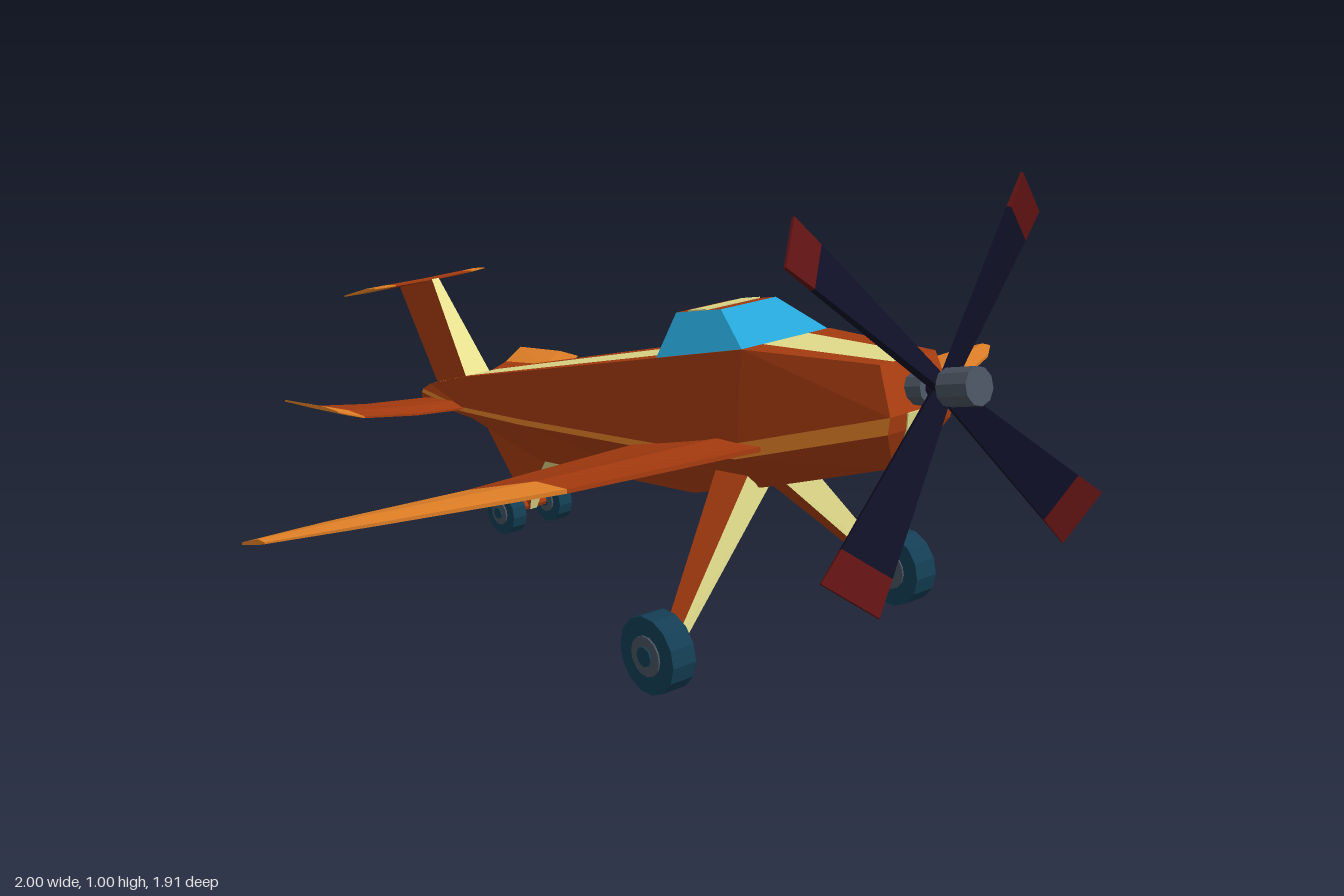
import * as THREE from 'three';

const paint = (name, color) => {
  const m = new THREE.MeshStandardMaterial({ color });
  m.name = name;
  return m;
};
const rust = paint('rust', 0xa83c10);
const amber = paint('amber', 0xe88428);
const cream = paint('cream', 0xe6e08e);
const glass = paint('glass', 0x26a6d8);
const tyre = paint('tyre', 0x143e54);
const steel = paint('steel', 0x48525f);
const blade = paint('blade navy', 0x0f0f26);
const tipRed = paint('blade tip red', 0x5e1212);

// Flat-faced skin through rings of points; pick(i, j) gives the material of
// side j between rings i and i + 1 (i = -1 first cap, i = rings.length last cap)
function loft(name, rings, pick) {
  const choose = typeof pick === 'function' ? pick : () => pick;
  const n = rings[0].length, last = rings.length - 1;
  const faces = new Map();
  let volume = 0;
  const tri = (m, a, b, c) => {
    const [p, q, r] = [a, b, c].map(v => new THREE.Vector3(...v));
    volume += p.dot(q.clone().cross(r));
    if (!faces.has(m)) faces.set(m, []);
    faces.get(m).push([a, b, c]);
  };
  const quad = (m, a, b, c, d) => { tri(m, a, b, c); tri(m, a, c, d); };
  for (let i = 0; i < last; i++) {
    for (let j = 0; j < n; j++) {
      const k = (j + 1) % n;
      quad(choose(i, j), rings[i][j], rings[i][k], rings[i + 1][k], rings[i + 1][j]);
    }
  }
  for (let j = 0; j < n / 2 - 1; j++) {
    const s = rings[0], e = rings[last];
    quad(choose(-1, j), s[j], s[n - 1 - j], s[n - 2 - j], s[j + 1]);
    quad(choose(last + 1, j), e[j], e[j + 1], e[n - 2 - j], e[n - 1 - j]);
  }
  const pos = [], mats = [], geo = new THREE.BufferGeometry();
  for (const [m, list] of faces) {
    geo.addGroup(pos.length / 3, list.length * 3, mats.length);
    mats.push(m);
    for (const [a, b, c] of list) pos.push(...a, ...(volume < 0 ? c : b), ...(volume < 0 ? b : c));
  }
  geo.setAttribute('position', new THREE.Float32BufferAttribute(pos, 3));
  geo.computeVertexNormals();
  const mesh = new THREE.Mesh(geo, mats.length > 1 ? mats : mats[0]);
  mesh.name = name;
  return mesh;
}

// Faceted cylinder lying along x or z
function drum(name, r, len, mat, axis, sides = 14) {
  let geo = new THREE.CylinderGeometry(r, r, len, sides);
  if (axis === 'x') geo.rotateZ(Math.PI / 2); else geo.rotateX(Math.PI / 2);
  geo = geo.toNonIndexed();
  geo.computeVertexNormals();
  const mesh = new THREE.Mesh(geo, mat);
  mesh.name = name;
  return mesh;
}

function wheel(name, r, width, x, y, z) {
  const g = new THREE.Group();
  g.name = name;
  g.add(drum('tyre', r, width, tyre, 'x'),
    drum('rim', r * 0.52, width + 0.008, steel, 'x'),
    drum('hubCap', r * 0.26, width + 0.016, tyre, 'x', 8));
  g.position.set(x, y, z);
  return g;
}

function fuselage() {
  // [zTop, yTop, cream half-width, top half-width, zStripe, yStripeTop, yStripeBottom, stripe half-width, zBottom, yBottom, bottom half-width]
  const stations = [
    [0.735, 0.685, 0.04, 0.075, 0.775, 0.595, 0.56, 0.085, 0.73, 0.47, 0.025],
    [0.41, 0.65, 0.062, 0.12, 0.41, 0.46, 0.425, 0.128, 0.41, 0.35, 0.05],
    [0.155, 0.575, 0.07, 0.123, 0.2, 0.4, 0.385, 0.128, 0.2, 0.28, 0.055],
    [-0.35, 0.422, 0.053, 0.085, -0.35, 0.308, 0.294, 0.088, -0.35, 0.2, 0.04],
    [-0.62, 0.34, 0.04, 0.06, -0.62, 0.266, 0.255, 0.064, -0.6, 0.23, 0.03],
    [-0.8, 0.275, 0.025, 0.03, -0.83, 0.255, 0.245, 0.032, -0.85, 0.22, 0.022],
  ];
  const rings = stations.map(([zt, yt, c, w, zs, s1, s2, ws, zb, yb, b]) => {
    const half = [[c, yt, zt], [w, yt, zt], [ws, s1, zs], [ws, s2, zs - 0.005], [b, yb, zb]];
    return [...half, ...half.map(([x, y, z]) => [-x, y, z]).reverse()];
  });
  const bands = [rust, rust, amber, rust, cream, rust, amber, rust, rust, cream];
  return loft('fuselage', rings, (i, j) => (i < 0 ? rust : i > 5 ? cream : bands[j]));
}

// Wing or tail panel: stations [x, zFront, yFront, zRear, yRear, thickness], amber from station tip on
function panel(name, stations, tip, side) {
  const rings = stations.map(([x, zf, yf, zr, yr, t]) => {
    const at = (k, dy) => [side * x, yf + (yr - yf) * k + dy, zf + (zr - zf) * k];
    return [at(0, 0), at(0.3, t * 0.6), at(1, t * 0.2), at(1, -t * 0.2), at(0.3, -t * 0.4), at(0, -t * 0.3)];
  });
  return loft(name, rings, i => (i >= tip ? amber : rust));
}

function propeller() {
  const g = new THREE.Group();
  g.name = 'propeller';
  const pitch = 0.38;
  // Blade pointing up, its chord pitched about its own length
  const ring = (y, half, t) => [[-half, y, t], [half, y, t], [half, y, -t], [-half, y, -t]].map(([x, yy, z]) => [
    x * Math.cos(pitch) + z * Math.sin(pitch), yy, -x * Math.sin(pitch) + z * Math.cos(pitch)]);
  for (let i = 0; i < 4; i++) {
    const b = loft('propellerBlade', [ring(0.01, 0.018, 0.008), ring(0.375, 0.054, 0.005), ring(0.45, 0.062, 0.003)],
      k => (k >= 1 ? tipRed : blade));
    b.rotation.z = Math.PI / 4 + i * Math.PI / 2;
    g.add(b);
  }
  const spinner = drum('spinner', 0.037, 0.075, steel, 'z', 10);
  spinner.position.z = 0.05;
  const shaft = drum('shaft', 0.018, 0.12, blade, 'z', 8);
  const collar = drum('collar', 0.032, 0.06, steel, 'z', 10);
  collar.position.z = -0.06;
  g.add(spinner, shaft, collar);
  g.position.set(0, 0.648, 0.826);
  g.rotation.x = -0.27;
  return g;
}

export function createModel() {
  const model = new THREE.Group();
  model.name = 'propellerPlane';
  model.add(fuselage(), propeller());

  // Cream plate on the nose
  const bar = (x, y, z) => [[-x, y, z], [x, y, z], [x, y, z + 0.004], [-x, y, z + 0.004]];
  model.add(loft('nosePlate', [bar(0.04, 0.595, 0.774), bar(0.036, 0.56, 0.769), bar(0.025, 0.47, 0.73)], cream));

  // Canopy with glazed front and sides
  const seat = (x, yf, zf, yr, zr) => [[-x, yf, zf], [x, yf, zf], [x, yr, zr], [-x, yr, zr]];
  model.add(loft('canopy', [seat(0.118, 0.648, 0.41, 0.573, 0.152), seat(0.075, 0.7, 0.3, 0.665, 0.165)],
    (i, j) => (i === 0 && j !== 2 ? glass : rust)));
  model.add(loft('canopyBand', [seat(0.074, 0.687, 0.255, 0.673, 0.2), seat(0.074, 0.691, 0.255, 0.677, 0.2)], cream));

  // Swept fin, cream along its edges
  const finRing = (y1, z1, w1, y2, z2, w2) => [[-w1, y1, z1], [w1, y1, z1], [w2, y2, z2], [-w2, y2, z2]];
  model.add(loft('fin', [finRing(0.31, -0.625, 0.037, 0.26, -0.765, 0.022), finRing(0.532, -0.81, 0.01, 0.484, -0.95, 0.01)],
    (i, j) => (j % 2 === 0 ? cream : rust)));

  // Tail wheel strut and axle
  model.add(loft('tailStrut', [
    finRing(0.23, -0.31, 0.042, 0.25, -0.59, 0.032),
    finRing(0.11, -0.41, 0.018, 0.11, -0.48, 0.018),
    finRing(0.05, -0.43, 0.01, 0.05, -0.46, 0.01)], (i, j) => (j % 2 === 0 ? cream : rust)));
  const axle = drum('tailAxle', 0.012, 0.1, rust, 'x', 8);
  axle.position.set(0, 0.058, -0.445);
  model.add(axle);

  for (const s of [1, -1]) {
    const label = s > 0 ? 'left' : 'right';
    model.add(panel(label + 'Wing', [
      [0.03, 0.485, 0.468, 0.075, 0.36, 0.035],
      [0.54, 0.396, 0.458, 0.075, 0.36, 0.03],
      [0.84, 0.215, 0.413, 0.026, 0.354, 0.022],
      [1, 0.085, 0.376, 0, 0.348, 0.012]], 1, s));
    model.add(panel(label + 'Stabilizer', [
      [0.02, -0.6, 0.267, -0.82, 0.23, 0.018],
      [0.17, -0.65, 0.265, -0.875, 0.23, 0.016],
      [0.29, -0.69, 0.273, -0.925, 0.238, 0.014],
      [0.352, -0.705, 0.294, -0.945, 0.262, 0.01]], 2, s));
    model.add(panel(label + 'TopTail', [
      [0, -0.81, 0.533, -0.952, 0.486, 0.01],
      [0.11, -0.815, 0.533, -0.954, 0.486, 0.01],
      [0.16, -0.83, 0.53, -0.968, 0.483, 0.008]], 1, s));

    // Splayed landing leg with a cream front face
    model.add(loft(label + 'LandingLeg', [
      [[s * 0.02, 0.34, 0.39], [s * 0.08, 0.375, 0.39], [s * 0.08, 0.375, 0.3], [s * 0.02, 0.34, 0.3]],
      [[s * 0.3, 0.075, 0.437], [s * 0.315, 0.09, 0.437], [s * 0.315, 0.09, 0.402], [s * 0.3, 0.075, 0.402]]],
      (i, j) => (i === 0 && j === 0 ? cream : rust)));
    model.add(wheel(label + 'MainWheel', 0.08, 0.058, s * 0.34, 0.08, 0.42));
    model.add(wheel(label + 'TailWheel', 0.053, 0.036, s * 0.067, 0.056, -0.445));
  }
  return model;
}
